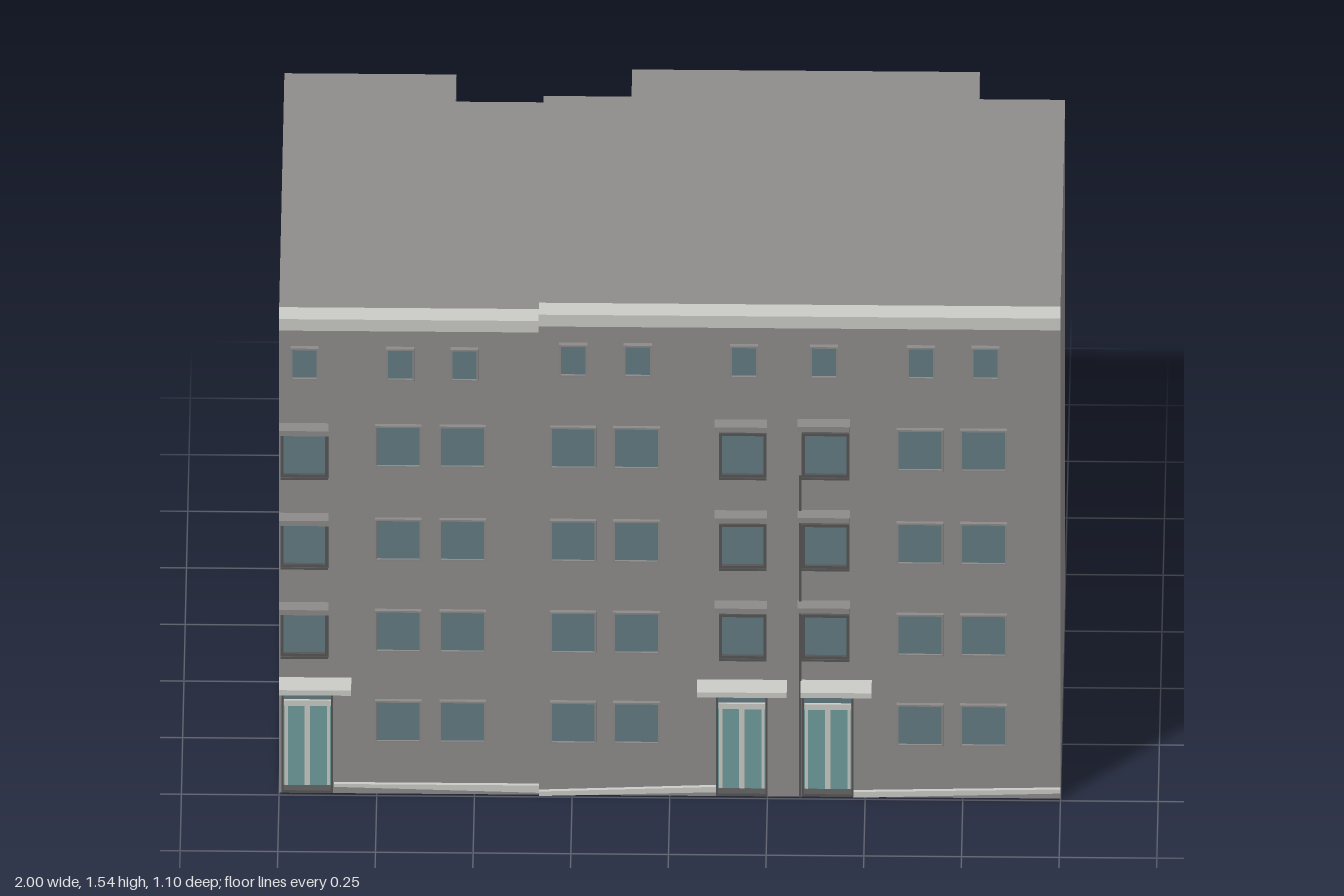
import * as THREE from 'three';

const mat = (name, color) => Object.assign(new THREE.MeshStandardMaterial({ color }), { name });

export function createModel() {
  const M = {
    wall: mat('wall grey', 0x8f8b8b),
    trim: mat('pale stone', 0xcacac6),
    glass: mat('window glass', 0x617a82),
    frame: mat('dark frame', 0x555556),
    hood: mat('hood grey', 0x8c8a88),
    door: mat('door glass', 0x6f9c9b),
  };
  const root = new THREE.Group();
  root.name = 'apartmentBlock';
  const FRONT = 0.49, INNER = 0.46, SPLIT = -0.335, LOW = 1.52, HIGH = 1.54;

  // Box given by its limits
  function box(parent, name, m, x0, x1, y0, y1, z0, z1) {
    const mesh = new THREE.Mesh(new THREE.BoxGeometry(x1 - x0, y1 - y0, z1 - z0), m);
    mesh.position.set((x0 + x1) / 2, (y0 + y1) / 2, (z0 + z1) / 2);
    mesh.name = name;
    parent.add(mesh);
    return mesh;
  }
  const group = (name) => {
    const g = new THREE.Group();
    g.name = name;
    root.add(g);
    return g;
  };
  const shape = (pts) => new THREE.Shape(pts.map((p) => new THREE.Vector2(...p)));

  // Main volumes, extruded upward from footprints given as [x, z]
  function volume(name, pts, height) {
    const geo = new THREE.ExtrudeGeometry(shape(pts.map(([x, z]) => [x, -z])), { depth: height, bevelEnabled: false });
    geo.rotateX(-Math.PI / 2);
    const mesh = new THREE.Mesh(geo, M.wall);
    mesh.name = name;
    root.add(mesh);
  }
  volume('lowBody', [[-1, INNER], [SPLIT, INNER], [SPLIT, -0.43], [-0.56, -0.43], [-0.56, -0.55], [-1, -0.55]], LOW);
  volume('highBody', [[SPLIT, INNER], [1, INNER], [1, -0.43], [0.78, -0.43], [0.78, -0.55],
    [-0.11, -0.55], [-0.11, -0.43], [SPLIT, -0.43]], HIGH);

  // Front wall with notches for the recessed doors
  const doors = [[-0.994, -0.862], [0.118, 0.25], [0.338, 0.47]];
  const outline = [[-1, 0]];
  doors.forEach(([a, b]) => outline.push([a, 0], [a, 0.325], [b, 0.325], [b, 0]));
  outline.push([1, 0], [1, HIGH], [SPLIT, HIGH], [SPLIT, LOW], [-1, LOW]);
  const facade = new THREE.Mesh(
    new THREE.ExtrudeGeometry(shape(outline), { depth: FRONT - INNER, bevelEnabled: false }), M.wall);
  facade.position.z = INNER;
  facade.name = 'frontWall';
  root.add(facade);

  // Cornice
  box(root, 'lowCornice', M.trim, -1, SPLIT, LOW - 0.035, LOW + 0.001, 0.485, 0.538);
  box(root, 'highCornice', M.trim, SPLIT, 1, HIGH - 0.036, HIGH + 0.001, 0.485, 0.538);

  // Sloping pale plinth strips
  [[[-0.86, 0.026], [-0.335, 0.012], [-0.335, 0.035], [-0.86, 0.035]],
    [[-0.335, 0.002], [0.118, 0.018], [0.118, 0.035], [-0.335, 0.016]],
    [[0.47, 0.004], [1, 0.022], [1, 0.035], [0.47, 0.022]]].forEach((pts) => {
    const strip = new THREE.Mesh(new THREE.ExtrudeGeometry(shape(pts), { depth: 0.009, bevelEnabled: false }), M.trim);
    strip.position.z = FRONT;
    strip.name = 'plinthStrip';
    root.add(strip);
  });

  // Rectangular ring frame around an opening
  function ring(parent, m, x0, x1, y0, y1, t, z1) {
    const s = shape([[x0, y0], [x1, y0], [x1, y1], [x0, y1]]);
    s.holes.push(new THREE.Path([[x0 + t, y0 + t], [x0 + t, y1 - t], [x1 - t, y1 - t], [x1 - t, y0 + t]]
      .map((p) => new THREE.Vector2(...p))));
    const mesh = new THREE.Mesh(new THREE.ExtrudeGeometry(s, { depth: z1 - FRONT, bevelEnabled: false }), m);
    mesh.position.z = FRONT;
    mesh.name = 'frame';
    parent.add(mesh);
  }

  // Plain windows
  const plain = group('plainWindows');
  for (const cx of [-0.695, -0.53, -0.247, -0.085, 0.64, 0.803]) {
    for (const cy of [0.232, 0.515, 0.802, 1.095]) {
      box(plain, 'glass', M.glass, cx - 0.057, cx + 0.057, cy - 0.06, cy + 0.062, FRONT - 0.003, FRONT + 0.005);
      ring(plain, M.hood, cx - 0.06, cx + 0.06, cy - 0.065, cy + 0.065, 0.005, FRONT + 0.01);
    }
  }

  // Small attic windows
  const attic = group('atticWindows');
  for (const cx of [-0.935, -0.69, -0.525, -0.247, -0.082, 0.19, 0.395, 0.643, 0.808]) {
    const cy = cx < SPLIT ? 1.353 : 1.37;
    box(attic, 'glass', M.glass, cx - 0.032, cx + 0.032, cy - 0.045, cy + 0.046, FRONT - 0.003, FRONT + 0.006);
    ring(attic, M.hood, cx - 0.036, cx + 0.036, cy - 0.05, cy + 0.05, 0.005, FRONT + 0.012);
  }

  // Framed stair windows with hoods and sills
  const stair = group('stairWindows');
  for (const [cx, dy] of [[-0.935, 0], [0.187, 0.012], [0.399, 0.014]]) {
    for (const y of [0.445, 0.725, 1.007]) {
      const y0 = y + dy * (y - 0.2), y1 = y0 + 0.138, top = y1 + dy;
      const x0 = cx - 0.061, x1 = cx + 0.061;
      box(stair, 'glass', M.glass, x0 + 0.005, x1 - 0.005, y0 + 0.005, y1 - 0.005, FRONT - 0.003, FRONT + 0.015);
      ring(stair, M.frame, x0, x1, y0, y1, 0.008, FRONT + 0.023);
      box(stair, 'hood', M.hood, Math.max(-1, cx - 0.072), cx + 0.062, top, top + 0.016, FRONT, FRONT + 0.036);
      box(stair, 'sill', M.frame, x0, x1, y0 - 0.006, y0, FRONT, FRONT + 0.026);
    }
  }

  // Recessed entrance doors
  doors.forEach(([a, b]) => {
    const g = group('entranceDoor');
    const cx = (a + b) / 2;
    box(g, 'doorGlass', M.door, a + 0.004, b - 0.004, 0.004, 0.262, INNER - 0.002, INNER + 0.006);
    box(g, 'transomGlass', M.glass, a + 0.004, b - 0.004, 0.276, 0.318, INNER - 0.002, INNER + 0.006);
    box(g, 'transomBar', M.trim, a + 0.006, b - 0.006, 0.26, 0.277, INNER, INNER + 0.012);
    box(g, 'centrePost', M.trim, cx - 0.007, cx + 0.007, 0.012, 0.26, INNER, INNER + 0.012);
    for (const x of [a + 0.012, b - 0.012]) {
      box(g, 'sidePost', M.trim, x - 0.004, x + 0.004, 0.012, 0.262, INNER, INNER + 0.012);
    }
    box(g, 'headBar', M.trim, a + 0.004, b - 0.004, 0.314, 0.32, INNER, INNER + 0.012);
    box(g, 'threshold', M.frame, a, b, 0, 0.008, INNER, FRONT);
    for (const x of [a, b - 0.005]) box(g, 'jamb', M.frame, x, x + 0.005, 0.008, 0.325, INNER, FRONT + 0.002);
  });

  // Door canopies
  for (const [a, b, y] of [[-1, -0.815, 0.347], [0.07, 0.3, 0.35], [0.335, 0.517, 0.351]]) {
    box(root, 'doorCanopy', M.trim, a, b, y, y + 0.016, FRONT - 0.005, 0.548);
  }

  // Downpipe
  box(root, 'downpipe', M.frame, 0.331, 0.337, 0, 1.01, FRONT - 0.002, FRONT + 0.005);

  return root;
}
